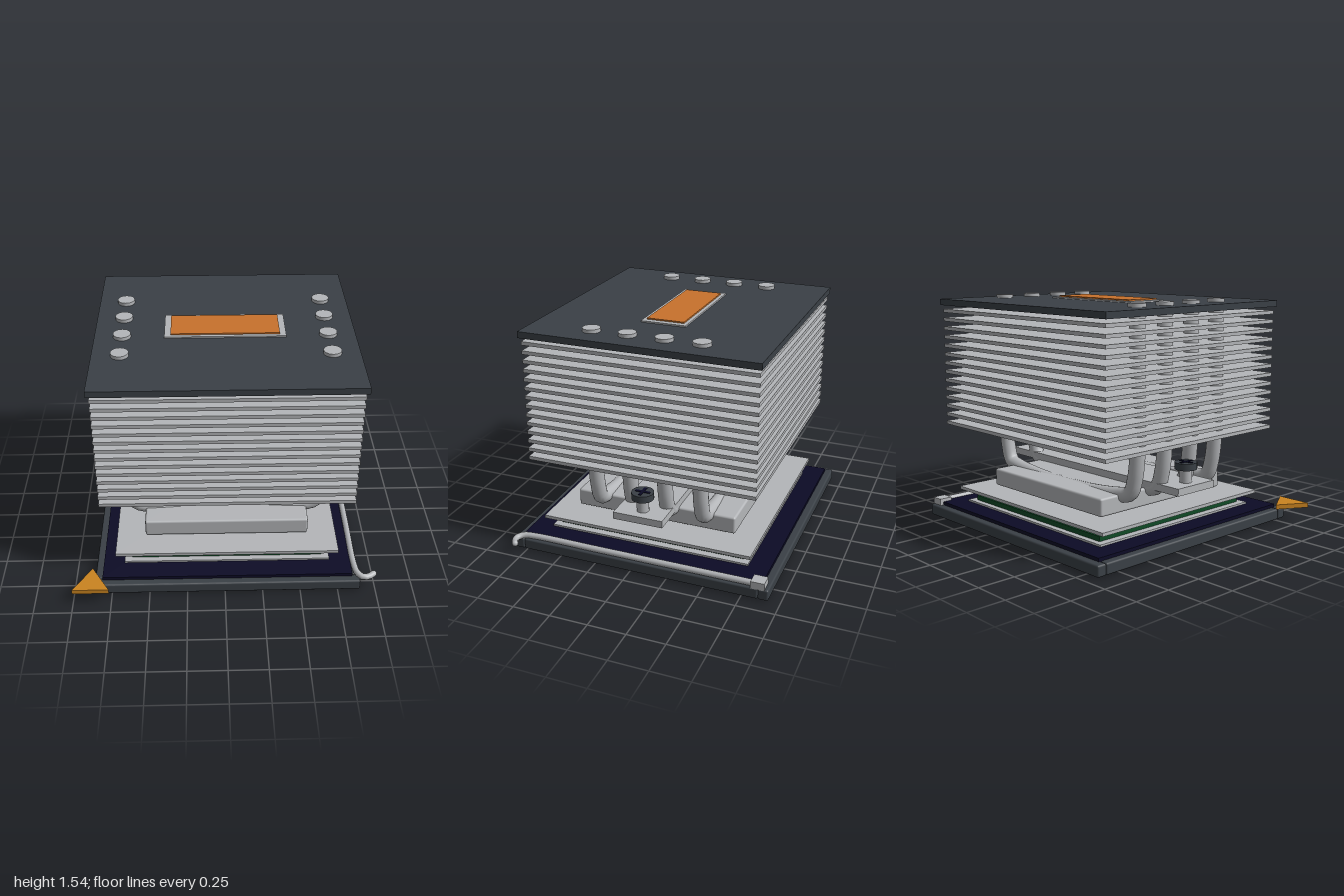
import * as THREE from 'three';
import { RoundedBoxGeometry } from 'three/addons/geometries/RoundedBoxGeometry.js';

const material = (name, color, side = THREE.FrontSide) => {
  const m = new THREE.MeshStandardMaterial({ color, side });
  m.name = name;
  return m;
};

export function createModel() {
  const metal = material('aluminium', 0xb4b6b9);
  const dark = material('dark grey', 0x3a4046);
  const navy = material('socket navy', 0x0c0b26);
  const green = material('board green', 0x0f4a26);
  const gold = material('gold', 0xca8420);
  const orange = material('orange', 0xc8722c);
  const black = material('chip black', 0x16181c);

  const model = new THREE.Group();
  model.name = 'tower cooler on socket';
  // Everything is symmetric about the stack axis, slightly off the origin
  const stack = new THREE.Group();
  stack.name = 'stack';
  stack.position.set(0.018, 0, -0.045);
  model.add(stack);

  const add = (name, geometry, mat, x = 0, y = 0, z = 0) => {
    const mesh = new THREE.Mesh(geometry, mat);
    mesh.name = name;
    mesh.position.set(x, y, z);
    stack.add(mesh);
    return mesh;
  };
  // Box from half widths and a bottom/top height
  const slab = (name, hx, hz, y0, y1, mat, x = 0, z = 0, round = 0) => {
    const g = round
      ? new RoundedBoxGeometry(2 * hx, y1 - y0, 2 * hz, 2, round)
      : new THREE.BoxGeometry(2 * hx, y1 - y0, 2 * hz);
    return add(name, g, mat, x, (y0 + y1) / 2, z);
  };
  const disc = (name, r, y0, y1, mat, x, z) =>
    add(name, new THREE.CylinderGeometry(r, r, y1 - y0, 24), mat, x, (y0 + y1) / 2, z);
  // Flat triangle with its point to the back
  const triangle = (name, x0, x1, xTip, z, zTip, y, h) => {
    const s = new THREE.Shape([[x0, -z], [x1, -z], [xTip, -zTip]].map(p => new THREE.Vector2(...p)));
    const g = new THREE.ExtrudeGeometry(s, { depth: h, bevelEnabled: false });
    g.rotateX(-Math.PI / 2);
    return add(name, g, gold, 0, y, 0);
  };

  // Socket body and its surrounding frame
  slab('socketBody', 0.83, 0.83, 0, 0.102, navy);
  for (const s of [-1, 1]) {
    slab('frameCrossBar', 0.88, 0.034, 0.005, 0.08, dark, 0, s * 0.846, 0.012);
    slab('frameSideBar', 0.034, 0.812, 0.005, 0.08, dark, s * 0.846, 0, 0.012);
  }
  triangle('cornerMarker', -1.018, -0.778, -0.898, 0.965, 0.76, 0.09, 0.032);

  // Retention lever and hinge
  slab('leverHinge', 0.043, 0.045, 0.075, 0.125, metal, 0.838, -0.81);
  const leverPath = new THREE.CatmullRomCurve3([
    [0.852, 0.1, -0.78], [0.852, 0.1, -0.3], [0.852, 0.1, 0.3], [0.852, 0.1, 0.74],
    [0.865, 0.099, 0.82], [0.9, 0.092, 0.853], [0.94, 0.09, 0.845], [0.972, 0.094, 0.825],
  ].map(p => new THREE.Vector3(...p)), false, 'centripetal');
  add('lever', new THREE.TubeGeometry(leverPath, 60, 0.021, 12), metal);
  add('leverTip', new THREE.SphereGeometry(0.021, 12, 8), metal, 0.972, 0.094, 0.825);

  // Processor package
  slab('carrierPlate', 0.69, 0.69, 0.1, 0.115, metal);
  slab('circuitBoard', 0.64, 0.65, 0.115, 0.147, green);
  triangle('boardMarker', -0.64, -0.49, -0.64, 0.61, 0.46, 0.147, 0.018);
  for (let i = 0; i < 5; i++) {
    const t = -0.46 + i * 0.27;
    for (const s of [-1, 1]) {
      slab('boardChip', 0.025, 0.015, 0.147, 0.16, black, t, s * 0.6);
      slab('boardChip', 0.015, 0.025, 0.147, 0.16, black, s * 0.6, t);
    }
  }
  slab('heatSpreaderFoot', 0.555, 0.555, 0.147, 0.186, metal);
  slab('heatSpreaderPlate', 0.745, 0.72, 0.186, 0.208, metal);
  slab('contactStep', 0.495, 0.5, 0.208, 0.23, metal);
  slab('coldBlock', 0.55, 0.555, 0.225, 0.343, metal, 0, 0, 0.014);

  // Mounting bracket with two cross head screws
  slab('mountingBracket', 0.8375, 0.168, 0.345, 0.393, metal);
  for (const s of [-1, 1]) {
    const x = s * 0.745;
    disc('screwPost', 0.04, 0.39, 0.485, metal, x, 0);
    disc('screwHead', 0.073, 0.48, 0.525, dark, x, 0);
    slab('screwSlot', 0.05, 0.01, 0.524, 0.529, navy, x, 0);
    slab('screwSlot', 0.01, 0.05, 0.524, 0.5285, navy, x, 0);
  }

  // U shaped heat pipes, each mirrored about the middle
  const half = [[0.66, 1.52], [0.668, 1.2], [0.672, 0.9], [0.672, 0.65], [0.65, 0.46],
    [0.612, 0.36], [0.53, 0.333], [0.25, 0.302]];
  const points = [...half.map(([x, y]) => [-x, y]), [0, 0.295], ...half.slice().reverse()];
  for (const z of [-0.36, -0.12, 0.12, 0.36]) {
    const path = new THREE.CatmullRomCurve3(
      points.map(([x, y]) => new THREE.Vector3(x, y, z)), false, 'centripetal');
    add('heatPipe', new THREE.TubeGeometry(path, 120, 0.05, 20), metal);
    for (const s of [-1, 1]) disc('pipeCap', 0.057, 1.515, 1.545, metal, s * 0.66, z);
  }

  // Fin stack and top cover
  for (let i = 0; i < 14; i++) {
    const y = 0.662 + i * 0.06;
    slab('coolingFin', 0.82, 0.765, y - 0.012, y + 0.012, metal);
  }
  slab('topCover', 0.8375, 0.778, 1.48, 1.522, dark);
  slab('badgeFrame', 0.39, 0.15, 1.522, 1.532, metal);
  slab('badgePanel', 0.35, 0.125, 1.532, 1.541, orange);

  return model;
}
